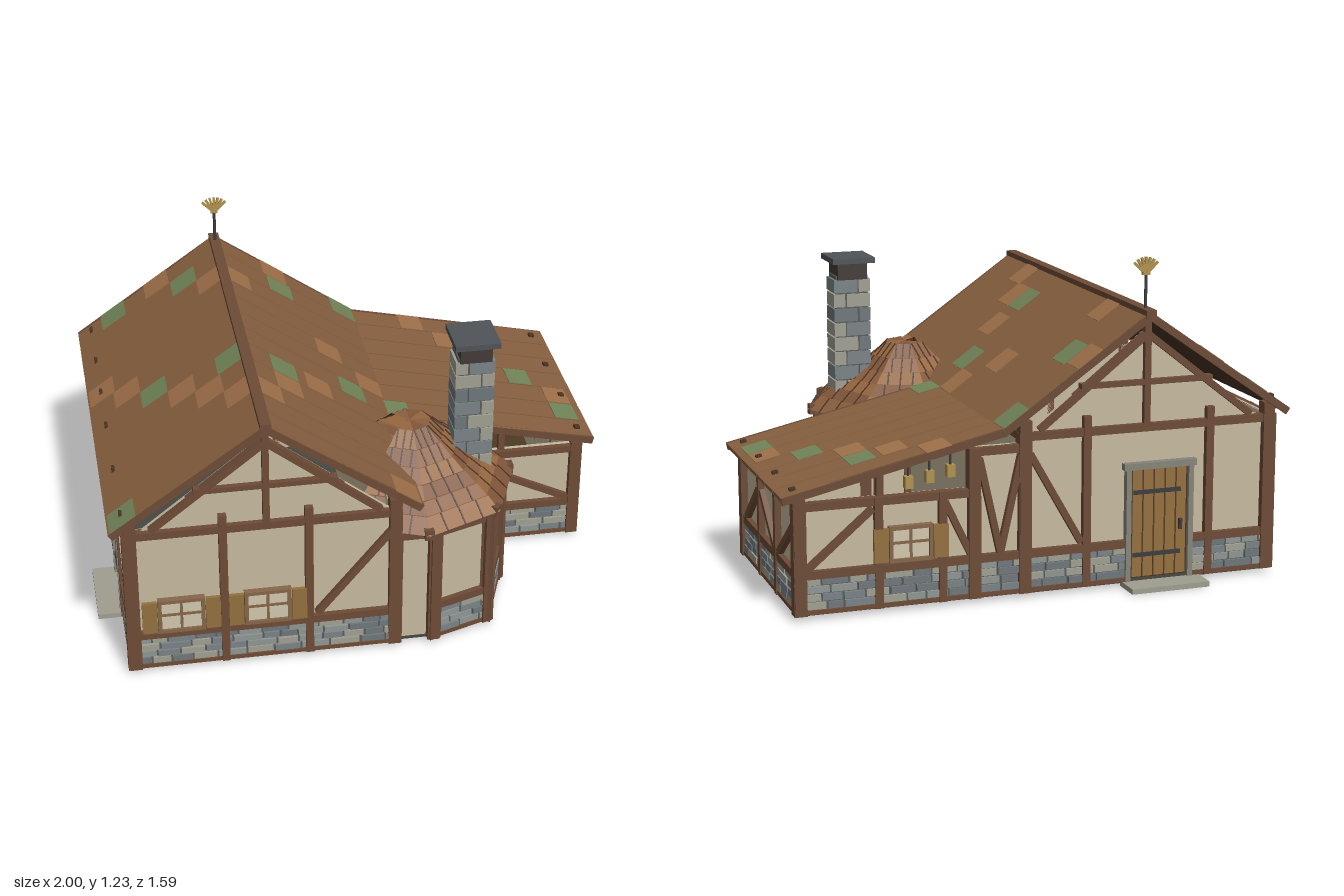
import * as THREE from 'three';

const C = { timber: 0x6d4b36, roof: 0x87603f, roofDark: 0x4a3324, plaster: 0xc6b99e, mortar: 0x5a5c5a, wood: 0x94703f,
  pane: 0xd2c7ae, frame: 0x86664a, iron: 0x3c3c3e, slab: 0xa09e90, gold: 0xb0924e, floor: 0x464643, tan: 0xa0714a, green: 0x728559 };
const STONES = [0x8f9693, 0x7a8386, 0x9f9f92, 0x6f777b];
const mats = {};
const mat = (c) => (mats[c] ??= new THREE.MeshStandardMaterial({ color: c, flatShading: true, side: THREE.DoubleSide }));
let seed = 7;
const rnd = () => (seed = (seed * 16807) % 2147483647) / 2147483647;

function group(parent, name) {
  const g = new THREE.Group();
  g.name = name;
  parent.add(g);
  return g;
}
function add(parent, name, geo, color, x = 0, y = 0, z = 0) {
  const m = new THREE.Mesh(geo, mat(color));
  m.name = name;
  m.position.set(x, y, z);
  parent.add(m);
  return m;
}
const box = (p, name, c, w, h, d, x, y, z) => add(p, name, new THREE.BoxGeometry(w, h, d), c, x, y, z);

// timber running between two points of a wall plane
function beam(p, name, x0, y0, x1, y1, w = 0.03, z = 0.002, d = 0.034) {
  const m = box(p, name, C.timber, Math.hypot(x1 - x0, y1 - y0), w, d, (x0 + x1) / 2, (y0 + y1) / 2, z);
  m.rotation.z = Math.atan2(y1 - y0, x1 - x0);
}

// stone courses along local x
function stones(p, x0, x1) {
  box(p, 'mortar', C.mortar, x1 - x0, 0.135, 0.02, (x0 + x1) / 2, 0.0875, -0.004);
  for (let r = 0; r < 4; r++) {
    let x = x0;
    while (x < x1 - 0.01) {
      const w = Math.min(x1 - x, 0.06 + rnd() * 0.06);
      box(p, 'stone', STONES[Math.floor(rnd() * 4)], Math.max(w - 0.007, 0.005), 0.025, 0.02, x + w / 2, 0.05 + r * 0.03, 0.003 + rnd() * 0.006);
      x += w;
    }
  }
}

function windowAt(p, x, y, w, h, shutters) {
  const g = group(p, 'window');
  g.position.set(x, y, 0.008);
  box(g, 'pane', C.pane, w, h, 0.012, 0, 0, 0);
  for (const s of [-1, 1]) {
    box(g, 'frameSide', C.frame, 0.014, h + 0.014, 0.03, s * w / 2, 0, 0);
    box(g, 'frameRail', C.frame, w + 0.014, 0.014, 0.03, 0, s * h / 2, 0);
    if (shutters) box(g, 'shutter', C.wood, 0.055, h + 0.005, 0.014, s * (w / 2 + 0.037), 0, 0.008);
  }
  box(g, 'mullion', C.frame, 0.01, h, 0.02, 0, 0, 0);
  box(g, 'crossbar', C.frame, w, 0.01, 0.02, 0, 0.005, 0);
}

function doorAt(p, x, w, h) {
  const g = group(p, 'door');
  g.position.set(x, 0.02, 0.005);
  box(g, 'doorBack', C.roofDark, w, h, 0.015, 0, h / 2, -0.004);
  for (let i = 0; i < 5; i++) box(g, 'doorPlank', C.wood, (w - 0.04) / 5 - 0.006, h - 0.03, 0.018, (i - 2) * (w - 0.04) / 5, h / 2, 0.002);
  for (const s of [-1, 1]) {
    box(g, 'jamb', 0x85857a, 0.02, h, 0.04, s * (w / 2 - 0.005), h / 2, 0);
    box(g, 'strap', C.iron, w - 0.07, 0.016, 0.024, -0.01, h / 2 + s * 0.12, 0.004);
  }
  box(g, 'lintel', 0x85857a, w + 0.03, 0.025, 0.044, 0, h, 0);
  box(g, 'handle', C.iron, 0.012, 0.04, 0.03, w * 0.32, h * 0.47, 0.008);
}

// half-timbered wall from a to b, left to right as seen from outside
function wall(root, name, a, b, H, o = {}) {
  const g = group(root, name), L = Math.hypot(b[0] - a[0], b[1] - a[1]);
  g.position.set(a[0], 0, a[1]);
  g.rotation.y = Math.atan2(a[1] - b[1], b[0] - a[0]);
  box(g, 'plaster', C.plaster, L, H - 0.02, 0.016, L / 2, H / 2 + 0.01, -0.01);
  const spans = o.door ? [[0, o.door[0] - o.door[1] / 2], [o.door[0] + o.door[1] / 2, L]] : [[0, L]];
  if (!o.plain) for (const [s, e] of spans) {
    stones(g, s, e);
    beam(g, 'sillBeam', s, 0.165, e, 0.165);
    beam(g, 'footBeam', s, 0.028, e, 0.028, 0.016);
  }
  beam(g, 'topBeam', -0.01, H - 0.015, L + 0.01, H - 0.015);
  for (const x of o.posts ?? [0, L]) {
    const end = x === 0 || x === L, top = H + (o.rise ?? 0);
    box(g, 'post', C.timber, end ? 0.045 : 0.03, top - 0.018, end ? 0.045 : 0.04, x, top / 2 + 0.009, 0.002);
  }
  for (const q of o.braces ?? []) beam(g, 'brace', ...q, 0.025);
  for (const q of o.windows ?? []) windowAt(g, ...q);
  if (o.door) doorAt(g, o.door[0], o.door[1], 0.44);
  return g;
}

function gable(root, name, z, turn) {
  const g = group(root, name);
  g.position.set(-0.39, 0, z);
  g.rotation.y = turn;
  const s = new THREE.Shape([[-0.46, 0.61], [0.46, 0.61], [0, 0.97]].map((p) => new THREE.Vector2(...p)));
  add(g, 'gablePlaster', new THREE.ExtrudeGeometry(s, { depth: 0.016, bevelEnabled: false }), C.plaster, 0, 0, -0.018);
  beam(g, 'kingPost', 0, 0.61, 0, 1.0, 0.025);
  beam(g, 'collar', -0.26, 0.775, 0.26, 0.775, 0.02);
  for (const k of [-1, 1]) beam(g, 'rake', k * 0.42, 0.625, 0, 0.955, 0.025);
}

// planked roof plane between two points of its profile, with patches at [x, z, colour]
function slope(root, name, x0, y0, x1, y1, z0, z1, n, patches) {
  const g = group(root, name), a = Math.atan2(y1 - y0, x1 - x0), L = Math.hypot(x1 - x0, y1 - y0), xm = (x0 + x1) / 2;
  g.position.set(xm, (y0 + y1) / 2, (z0 + z1) / 2);
  g.rotation.z = a;
  const W = z1 - z0, w = W / n;
  box(g, 'underside', C.roofDark, L - 0.01, 0.012, W - 0.01, 0, -0.006, 0);
  for (let i = 0; i < n; i++) box(g, 'plank', C.roof, L, 0.018, w - 0.007, 0, 0.003, -W / 2 + (i + 0.5) * w);
  for (const s of [-1, 1]) box(g, 'bargeBoard', C.timber, L, 0.028, 0.016, 0, -0.002, s * (W / 2 - 0.008));
  for (const [x, z, c] of patches) {
    const px = Math.min(Math.max(x, x0 + 0.047), x1 - 0.047);
    box(g, 'patch', c, 0.095 / Math.cos(a), 0.018, w - 0.008, (px - xm) / Math.cos(a), 0.0055, z - g.position.z);
  }
  return g;
}

export function createModel() {
  const root = new THREE.Group();
  root.name = 'cottage';
  const T = C.tan, G = C.green;

  // floors and doorsteps
  box(root, 'mainFloor', C.floor, 1.0, 0.012, 1.44, -0.4, 0.022, 0.025);
  box(root, 'wingFloor', 0x4e3a24, 0.85, 0.012, 0.83, 0.52, 0.022, -0.275);
  const bay = [[0.09, 0.735], [0.235, 0.735], [0.455, 0.66], [0.555, 0.4], [0.455, 0.14]];
  const bayShape = new THREE.Shape([...bay, [0.09, 0.14]].map(([x, z]) => new THREE.Vector2(x, z)));
  add(root, 'bayFloor', new THREE.ExtrudeGeometry(bayShape, { depth: 0.012, bevelEnabled: false }), C.floor, 0, 0.028).rotation.x = Math.PI / 2;
  box(root, 'backStep', C.slab, 0.31, 0.02, 0.12, -0.455, 0.01, -0.735);
  box(root, 'sideStep', C.slab, 0.12, 0.02, 0.31, -0.94, 0.01, 0.24);

  // main house walls
  wall(root, 'frontWall', [-0.885, 0.735], [0.085, 0.735], 0.62, { rise: 0.045, posts: [0, 0.335, 0.65, 0.97],
    braces: [[0.68, 0.19, 0.96, 0.53]], windows: [[0.175, 0.245, 0.16, 0.13, true], [0.495, 0.245, 0.16, 0.13, true]] });
  wall(root, 'backWall', [0.085, -0.68], [-0.885, -0.68], 0.62, { rise: 0.045, posts: [0, 0.24, 0.73, 0.97],
    door: [0.53, 0.26], braces: [[0.02, 0.54, 0.22, 0.19]] });
  wall(root, 'leftWall', [-0.89, -0.68], [-0.89, 0.735], 0.62, { posts: [0, 0.18, 0.53, 0.76, 1.08, 1.415], door: [0.92, 0.26],
    windows: [[0.36, 0.265, 0.15, 0.14, false]], braces: [[0.02, 0.19, 0.17, 0.5], [0.55, 0.5, 0.74, 0.19], [1.1, 0.5, 1.39, 0.19]] });
  wall(root, 'innerWall', [0.085, 0.735], [0.085, -0.68], 0.62, { plain: true });
  gable(root, 'frontGable', 0.735, 0);
  gable(root, 'backGable', -0.68, Math.PI);

  // low side wing, open beneath its roof
  wall(root, 'wingRightWall', [0.93, 0.13], [0.93, -0.68], 0.445, { posts: [0, 0.285, 0.535, 0.81],
    braces: [[0.05, 0.18, 0.26, 0.345], [0.3, 0.345, 0.51, 0.18], [0.555, 0.18, 0.785, 0.345]] });
  wall(root, 'wingFrontWall', [0.455, 0.13], [0.93, 0.13], 0.43, { braces: [[0.11, 0.35, 0.46, 0.18]] });
  wall(root, 'wingBackWall', [0.93, -0.68], [0.28, -0.68], 0.43, { posts: [0, 0.29, 0.53, 0.65], windows: [[0.41, 0.25, 0.15, 0.12, true]],
    braces: [[0.02, 0.18, 0.27, 0.39], [0.54, 0.39, 0.64, 0.18]] });
  wall(root, 'wingTallWall', [0.28, -0.68], [0.085, -0.68], 0.58, { braces: [[0.02, 0.54, 0.1, 0.18], [0.1, 0.18, 0.18, 0.54]] });
  for (const z of [0.12, -0.67]) box(root, 'roofProp', C.timber, 0.025, 0.11, 0.025, 0.63, 0.475, z);
  for (let i = 0; i < 3; i++) {
    box(root, 'lanternCord', C.iron, 0.006, 0.09, 0.006, 0.34 + i * 0.08, 0.54 - i * 0.015, -0.6);
    box(root, 'lantern', C.gold, 0.03, 0.045, 0.03, 0.34 + i * 0.08, 0.48 - i * 0.015, -0.6);
  }

  // faceted bay with stepped shingle roof
  for (let i = 0; i < 4; i++) wall(root, 'bayWall', bay[i], bay[i + 1], 0.51,
    { plain: i === 0, windows: i === 3 ? [[0.14, 0.25, 0.12, 0.12, true]] : [] });
  const radii = [0.41, 0.36, 0.31, 0.255, 0.2, 0.145, 0.085], ys = [0.515, 0.555, 0.59, 0.625, 0.665, 0.71, 0.76];
  const bayRoof = group(root, 'bayRoof');
  bayRoof.position.set(0.205, 0, 0.385);
  for (let t = 0; t < 6; t++) for (let f = 0; f < 6; f++) {
    const h = ys[t + 1] - ys[t] + 0.008;
    const geo = new THREE.CylinderGeometry(radii[t + 1] - 0.005, radii[t], h, 1, 1, false, (f - 1) * Math.PI / 4, Math.PI / 4);
    add(bayRoof, 'shingleCourse', geo, [0x8c5f40, 0x80563a, 0x96673f][(t + f * 2) % 3], 0, ys[t] + h / 2);
    const m = (f - 0.5) * Math.PI / 4; // joints between the shingles of a facet
    for (const k of [-0.25, 0, 0.25]) {
      const r = radii[t] * 0.924, R = (radii[t + 1] - 0.005) * 0.924, w = radii[t] * 0.765 * k;
      const j = box(bayRoof, 'shingleJoint', C.roofDark, 0.006, 0.004, Math.hypot(r - R, h),
        Math.sin(m) * (r + R) / 2 + Math.cos(m) * w, ys[t] + h / 2, Math.cos(m) * (r + R) / 2 - Math.sin(m) * w);
      j.rotation.set(Math.atan2(h, r - R), m, 0, 'YXZ');
    }
  }
  for (let k = 0; k < 4; k++) {
    const a = k * Math.PI / 4;
    box(bayRoof, 'eaveBlock', C.timber, 0.035, 0.04, 0.06, Math.sin(a) * 0.375, 0.515, Math.cos(a) * 0.375).rotation.y = a;
  }

  // chimney
  const chimney = group(root, 'chimney');
  chimney.position.set(0.435, 0, 0.4);
  box(chimney, 'chimneyCore', C.mortar, 0.13, 0.56, 0.1, 0, 0.77, 0);
  for (let r = 0; r < 9; r++) for (const s of [-1, 1]) {
    const split = r % 2 ? 0.025 : -0.025, w = 0.077 - s * split, j = rnd() * 0.01;
    box(chimney, 'chimneyStone', STONES[Math.floor(rnd() * 4)], w - 0.006, 0.052, 0.107 + j, split + s * w / 2, 0.545 + r * 0.058, 0);
  }
  box(chimney, 'chimneyNeck', 0x413b38, 0.12, 0.07, 0.13, 0, 1.07, 0);
  box(chimney, 'chimneyCap', 0x505458, 0.17, 0.022, 0.18, 0, 1.113, 0);

  // main and wing roofs
  slope(root, 'leftRoof', -0.955, 0.63, -0.39, 1.025, -0.72, 0.775, 12, [[-0.81, -0.658, G], [-0.63, -0.658, T], [-0.53, -0.533, G],
    [-0.43, -0.409, T], [-0.9, -0.16, T], [-0.81, -0.035, T], [-0.715, 0.09, G], [-0.62, 0.214, T], [-0.44, 0.214, G],
    [-0.53, 0.339, T], [-0.43, 0.463, T], [-0.9, 0.713, G]]);
  slope(root, 'rightRoof', -0.39, 1.025, 0.178, 0.63, -0.72, 0.775, 12, [[-0.165, -0.658, T], [0.12, -0.658, G], [-0.155, -0.533, G],
    [-0.34, -0.409, T], [-0.02, -0.16, T], [0.12, -0.035, T], [0.03, 0.09, G], [-0.25, 0.214, G], [-0.12, 0.214, T],
    [-0.25, 0.339, T], [-0.34, 0.463, T], [0.12, 0.713, T]]);
  const wingRoof = slope(root, 'wingRoof', 0.165, 0.635, 0.997, 0.45, -0.718, 0.155, 7, [[0.415, -0.656, T], [0.54, -0.531, T],
    [0.66, -0.531, G], [0.66, -0.406, T], [0.79, -0.282, G], [0.92, -0.157, T], [0.92, -0.032, G], [0.21, 0.093, G]]);
  for (let i = 0; i < 4; i++) box(wingRoof, 'peg', C.roofDark, 0.022, 0.02, 0.022, 0.37, 0.012, -0.38 + i * 0.25);
  for (const z of [-0.66, -0.41, -0.16, 0.09, 0.4, 0.7]) box(root, 'peg', C.roofDark, 0.012, 0.02, 0.03, -0.91, 0.677, z);
  box(root, 'ridgeBeam', C.timber, 0.04, 0.032, 1.505, -0.39, 1.03, 0.027);

  // fan finial on the back of the ridge
  const finial = group(root, 'finial');
  finial.position.set(-0.39, 1.04, -0.665);
  add(finial, 'pole', new THREE.CylinderGeometry(0.006, 0.006, 0.13, 8), C.iron, 0, 0.065);
  box(finial, 'fanHub', C.gold, 0.028, 0.014, 0.014, 0, 0.135, 0);
  for (let i = -3; i <= 3; i++) {
    const a = i * 0.27;
    box(finial, 'fanRib', C.gold, 0.009, 0.055, 0.01, Math.sin(a) * 0.036, 0.13 + Math.cos(a) * 0.036, 0).rotation.z = -a;
  }
  return root;
}
